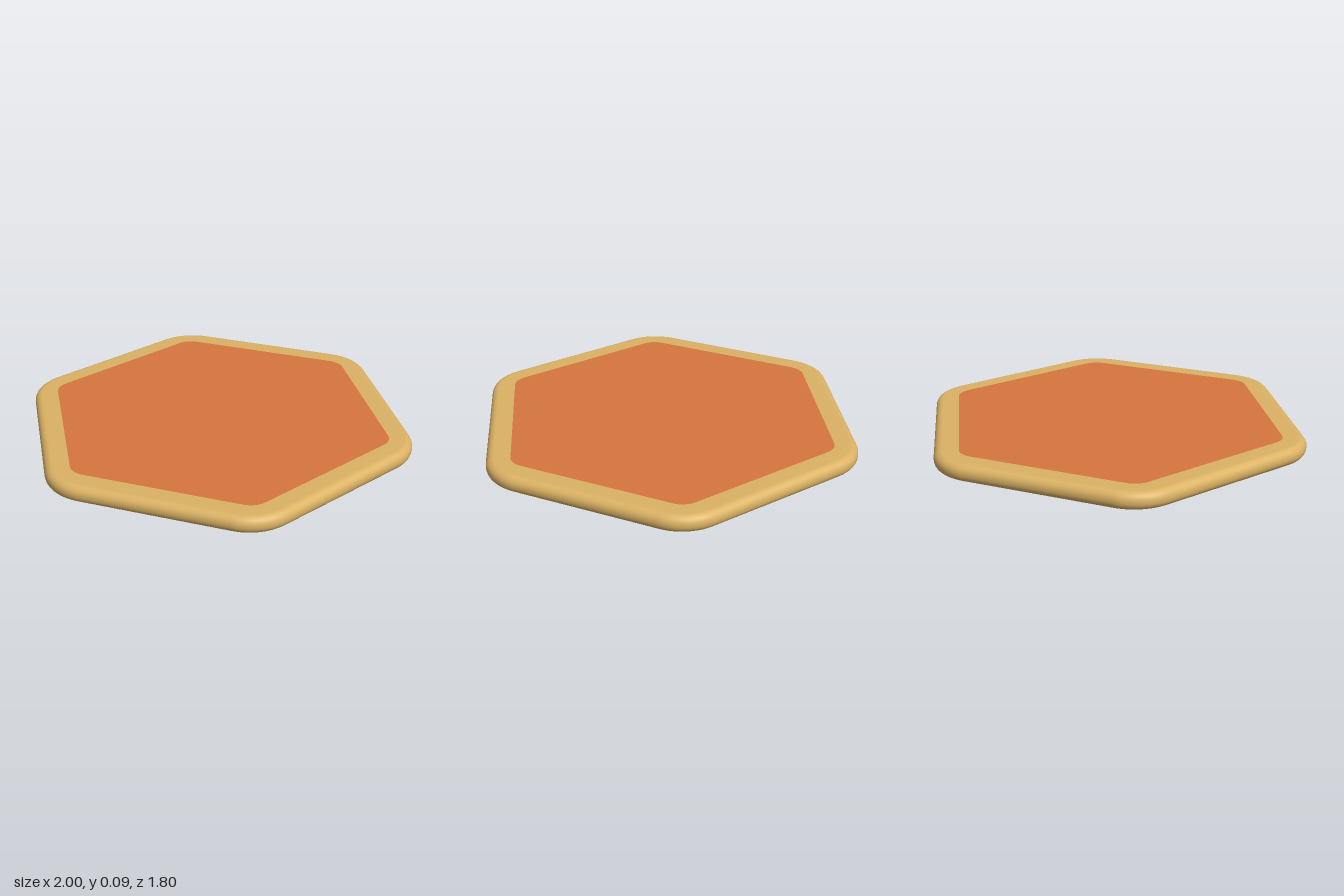
import * as THREE from 'three';

const ARC = 10; // segments per rounded corner

// Rounded hexagon ring: apothem a, corner radius r, height y
function hexRing({ a, r, y }) {
  const points = [];
  const d = (a - r) / Math.cos(Math.PI / 6);
  for (let k = 0; k < 6; k++) {
    const c = (k * Math.PI) / 3;
    for (let i = 0; i <= ARC; i++) {
      const t = c + (i / ARC - 0.5) * (Math.PI / 3);
      points.push(d * Math.cos(c) + r * Math.cos(t), y, d * Math.sin(c) + r * Math.sin(t));
    }
  }
  return points;
}

// Skin a stack of rings, listed from the underside outwards and up
function loft(rings) {
  const n = 6 * (ARC + 1);
  const index = [];
  for (let i = 0; i < rings.length - 1; i++) {
    for (let j = 0; j < n; j++) {
      const a = i * n + j, b = i * n + ((j + 1) % n);
      index.push(a, a + n, b, b, a + n, b + n);
    }
  }
  const geometry = new THREE.BufferGeometry();
  geometry.setAttribute('position', new THREE.Float32BufferAttribute(rings.flatMap(hexRing), 3));
  geometry.setIndex(index);
  geometry.computeVertexNormals();
  return geometry;
}

export function createModel() {
  const gold = new THREE.MeshStandardMaterial({ color: 0xdbb264 });
  gold.name = 'gold';
  const terracotta = new THREE.MeshStandardMaterial({ color: 0xd6753e });
  terracotta.name = 'terracotta';

  const height = 0.086, bevel = 0.04, apothem = 0.9, corner = 0.253;
  const panelEdge = { a: 0.78, r: 0.1, y: height };

  // Tile body: flat underside, rounded edge, flat rim on top
  const rings = [{ a: 0, r: 0, y: 0 }];
  for (const top of [false, true]) {
    for (let i = 0; i <= 8; i++) {
      const t = ((top ? i : i - 8) / 8) * (Math.PI / 2);
      const inset = bevel * (1 - Math.cos(t));
      const y = (top ? height - bevel : bevel) + bevel * Math.sin(t);
      rings.push({ a: apothem - inset, r: corner - inset, y });
    }
  }
  rings.push(panelEdge);
  const body = new THREE.Mesh(loft(rings), gold);
  body.name = 'tileBody';

  // Top panel, flush with the rim
  const panel = new THREE.Mesh(loft([panelEdge, { a: 0, r: 0, y: height }]), terracotta);
  panel.name = 'topPanel';

  const group = new THREE.Group();
  group.name = 'hexagonTile';
  group.add(body, panel);
  return group;
}
